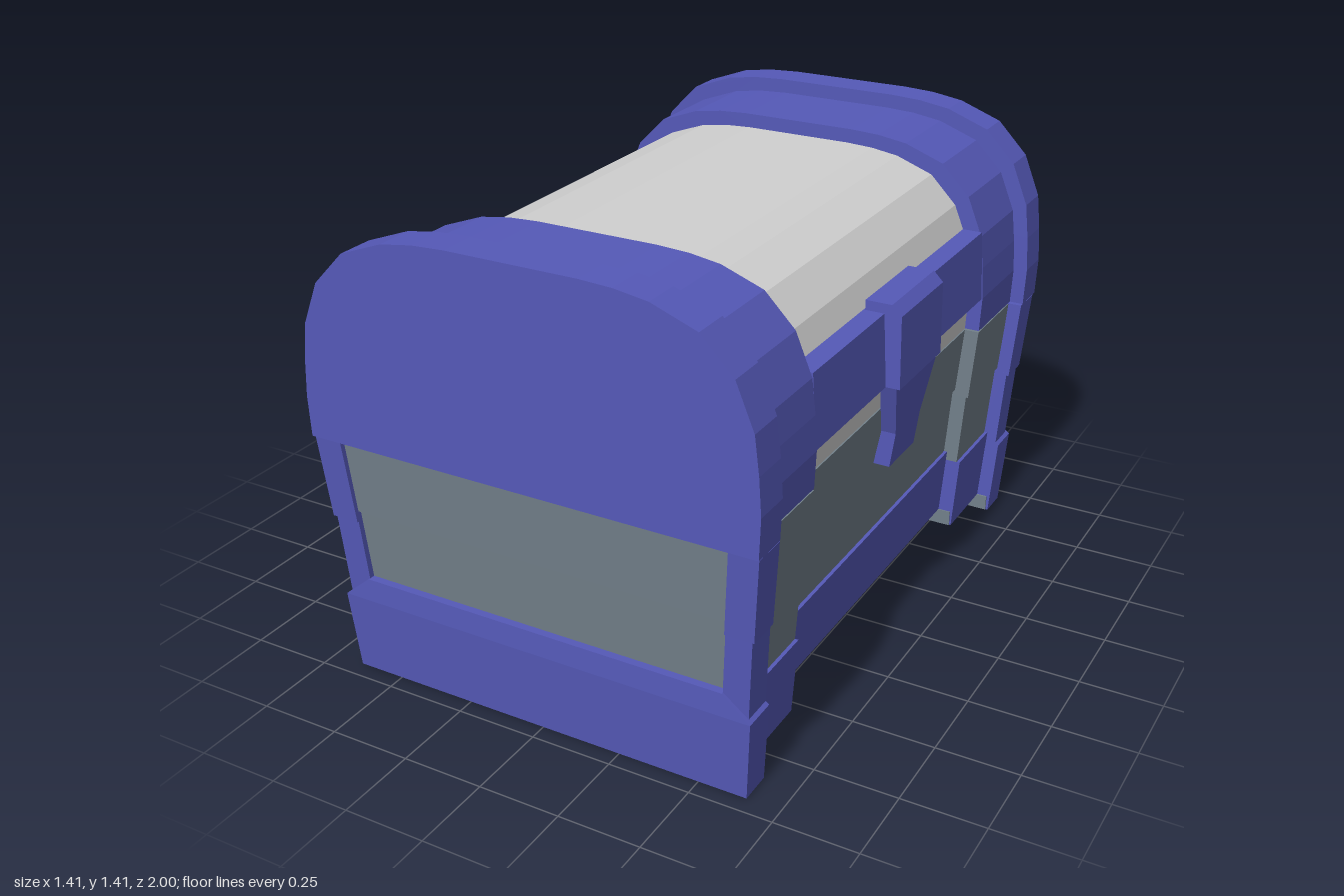
import * as THREE from 'three';
import { RoundedBoxGeometry } from 'three/addons/geometries/RoundedBoxGeometry.js';

const mat = (name, color) => {
  const m = new THREE.MeshStandardMaterial({ color });
  m.name = name;
  return m;
};

export function createModel() {
  const chest = new THREE.Group();
  chest.name = 'chest';
  const blue = mat('blue trim', 0x5559b8);
  const slate = mat('slate planks', 0x72808a);
  const pale = mat('pale lid', 0xd0d0d0);

  const add = (name, geometry, material, x = 0, y = 0, z = 0) => {
    const mesh = new THREE.Mesh(geometry, material);
    mesh.name = name;
    mesh.position.set(x, y, z);
    chest.add(mesh);
    return mesh;
  };

  // Tapered block; each rectangle is [x0, x1, z0, z1] at the bottom or top
  const block = (name, material, y0, y1, bottom, top) => {
    const g = new THREE.BoxGeometry(1, 1, 1).toNonIndexed();
    const p = g.attributes.position;
    for (let i = 0; i < p.count; i++) {
      const up = p.getY(i) > 0;
      const [xa, xb, za, zb] = up ? top : bottom;
      p.setXYZ(i,
        p.getX(i) > 0 ? Math.max(xa, xb) : Math.min(xa, xb),
        up ? y1 : y0,
        p.getZ(i) > 0 ? Math.max(za, zb) : Math.min(za, zb));
    }
    g.computeVertexNormals();
    return add(name, g, material);
  };

  // Lid: the same arch at three sizes, stepped towards the ends
  const half = [[0.7, 0.77], [0.705, 0.89], [0.698, 1.0], [0.685, 1.11], [0.632, 1.24],
    [0.535, 1.34], [0.4, 1.39], [0.3, 1.405], [0.2, 1.41]];
  const lid = (name, material, halfWidth, height, z0, z1) => {
    const kx = halfWidth / 0.705, ky = (height - 0.77) / 0.64;
    const right = half.map(([x, y]) => new THREE.Vector2(x * kx, 0.77 + (y - 0.77) * ky));
    const left = right.map(v => new THREE.Vector2(-v.x, v.y)).reverse();
    const g = new THREE.ExtrudeGeometry(new THREE.Shape([...right, ...left]),
      { depth: z1 - z0, bevelEnabled: false });
    add(name, g, material, 0, 0, z0);
  };
  lid('lidCentre', pale, 0.613, 1.32, -0.6, 0.6);
  lid('lidBandFront', blue, 0.66, 1.365, 0.6, 0.89);
  lid('lidBandBack', blue, 0.66, 1.365, -0.89, -0.6);
  lid('lidCapFront', blue, 0.705, 1.41, 0.885, 1);
  lid('lidCapBack', blue, 0.705, 1.41, -1, -0.885);
  block('lidStrip', blue, 0.88, 1.1, [0.58, 0.657, -0.6, 0.6], [0.58, 0.643, -0.6, 0.6]);

  // Body tiers: half-width at bottom and top, from the base upwards
  const widths = [[0.647, 0.664], [0.653, 0.67], [0.677, 0.697]];
  const names = ['base', 'lowerPlank', 'upperPlank'];
  const tiers = (label, levels, inset, z0, z1) => widths.forEach(([b, t], i) => {
    b -= inset;
    t -= inset;
    block(label + names[i], i ? slate : blue, levels[i], levels[i + 1],
      [-b, b, z0, z1], [-t, t, z0, z1]);
  });
  tiers('centre_', [0.1, 0.32, 0.55, 0.765], 0.088, -0.6, 0.6);

  for (const s of [1, -1]) {
    tiers('band_', [0.05, 0.29, 0.53, 0.765], 0.042, s * 0.6, s * 0.875);

    // End base with its mitred upper edge
    block('endBase', blue, 0, 0.25,
      [-0.647, 0.647, s * 0.847, s * 0.947], [-0.664, 0.664, s * 0.857, s * 0.965]);
    block('endBaseMitre', blue, 0.25, 0.32,
      [-0.664, 0.664, s * 0.857, s * 0.965], [-0.58, 0.58, s * 0.86, s * 0.962]);

    // Recessed end planks
    block('endLowerPlank', slate, 0.3, 0.54,
      [-0.6, 0.6, s * 0.86, s * 0.937], [-0.62, 0.62, s * 0.87, s * 0.953]);
    block('endUpperPlank', slate, 0.54, 0.765,
      [-0.62, 0.62, s * 0.87, s * 0.962], [-0.63, 0.63, s * 0.88, s * 0.976]);

    // Corner posts in two overlapping lengths
    for (const m of [1, -1]) {
      block('lowerPost', blue, 0.25, 0.52,
        [m * 0.574, m * 0.653, s * 0.857, s * 0.952], [m * 0.592, m * 0.67, s * 0.869, s * 0.968]);
      block('upperPost', blue, 0.51, 0.765,
        [m * 0.591, m * 0.677, s * 0.869, s * 0.973], [m * 0.61, m * 0.697, s * 0.88, s * 0.991]);
    }

    // Slate faces of the steps underneath
    add('innerStep', new THREE.BoxGeometry(1.2, 0.05, 0.006), slate, 0, 0.075, s * 0.599);
    add('outerStep', new THREE.BoxGeometry(1.28, 0.05, 0.006), slate, 0, 0.026, s * 0.846);
  }

  // Latch: bevelled block with a tapering tongue
  block('latchBlock', blue, 0.88, 1.1, [0.59, 0.7, -0.15, 0.15], [0.59, 0.695, -0.15, 0.15]);
  block('latchTop', blue, 1.1, 1.13, [0.585, 0.695, -0.15, 0.15], [0.585, 0.665, -0.15, 0.15]);
  block('latchTaper', blue, 0.71, 0.88, [0.625, 0.67, -0.09, 0.09], [0.64, 0.69, -0.15, 0.15]);
  block('latchTip', blue, 0.6, 0.71, [0.605, 0.655, -0.09, 0.09], [0.625, 0.67, -0.09, 0.09]);

  // Hinges on the opposite side
  for (const z of [-0.385, 0.345]) {
    add('hinge', new RoundedBoxGeometry(0.11, 0.32, 0.15, 2, 0.025), pale, -0.617, 0.805, z);
  }
  return chest;
}
